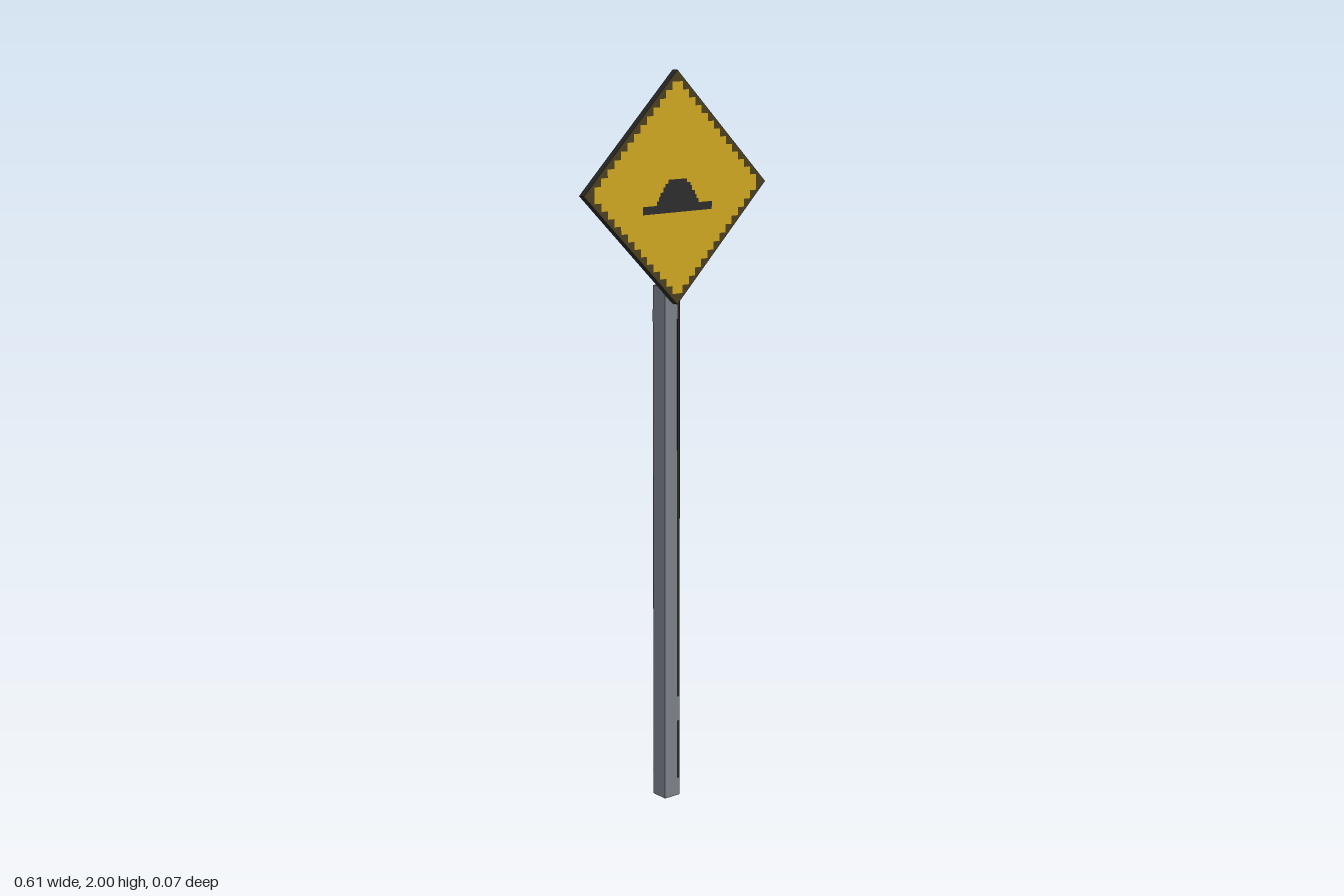
import * as THREE from 'three';

const mat = (name, color) => {
  const m = new THREE.MeshStandardMaterial({ color });
  m.name = name;
  return m;
};

// Stepped outline, symmetric about x = 0, from rows of [halfWidth, topY] going up
function steppedShape(bottom, rows) {
  const right = [];
  let y = bottom;
  for (const [w, top] of rows) {
    right.push(new THREE.Vector2(w, y), new THREE.Vector2(w, top));
    y = top;
  }
  const left = right.map(p => new THREE.Vector2(-p.x, p.y)).reverse();
  return new THREE.ShapeGeometry(new THREE.Shape([...right, ...left]));
}

export function createModel() {
  const group = new THREE.Group();
  const steel = mat('steel grey', 0x7a7f88);
  const black = mat('edge black', 0x262626);
  const brown = mat('border brown', 0x4a3e20);
  const yellow = mat('sign yellow', 0xcca522);
  const symbol = mat('symbol charcoal', 0x2c2c2c);

  const add = (name, geometry, material, x, y, z) => {
    const mesh = new THREE.Mesh(geometry, material);
    mesh.name = name;
    mesh.position.set(x, y, z);
    group.add(mesh);
    return mesh;
  };

  // Square post
  const W = 0.051, H = 1.436, postZ = -0.0115, T = 0.001;
  add('post', new THREE.BoxGeometry(W, H, W), steel, 0, H / 2, postZ);

  // Dark seams along the right-hand edge of the post's front and back
  const front = postZ + W / 2, back = postZ - W / 2;
  for (const [y0, y1] of [[0.05, 0.22], [0.29, H]])
    add('frontSeam', new THREE.BoxGeometry(0.009, y1 - y0, T), black, 0.021, (y0 + y1) / 2, front);
  add('backSeam', new THREE.BoxGeometry(0.006, 1.31, T), black, -0.0225, 0.715, back);

  // Dark seams on the post's top
  add('topSideSeam', new THREE.BoxGeometry(0.009, T, W), black, 0.021, H, postZ);
  add('topFrontSeam', new THREE.BoxGeometry(0.042, T, 0.007), black, -0.0045, H, 0.008);

  // Diamond plate: dark rim, brown front border, bare back
  const R = 0.305, cy = 2 - R, plateT = 0.02, plateZ = 0.0245;
  const side = R * Math.SQRT2;
  const plate = add('signPlate', new THREE.BoxGeometry(side, side, plateT),
    [black, black, black, black, brown, steel], 0, cy, plateZ);
  plate.rotation.z = Math.PI / 4;

  // Yellow face with a stepped edge
  const cell = 0.0212, n = 13, rows = [];
  for (let i = -n; i < n; i++)
    rows.push([(n - Math.abs(i + 0.5) + 0.5) * cell - 0.004, (i + 1) * cell]);
  const faceZ = plateZ + plateT / 2;
  add('yellowFace', steppedShape(-n * cell, rows), yellow, 0, cy, faceZ + 0.0008);

  // Road hump symbol
  const hump = steppedShape(1.634, [
    [0.116, 1.655], [0.07, 1.666], [0.063, 1.677], [0.058, 1.688],
    [0.048, 1.701], [0.042, 1.71], [0.031, 1.72],
  ]);
  add('humpSymbol', hump, symbol, 0, 0, faceZ + 0.0016);

  return group;
}
